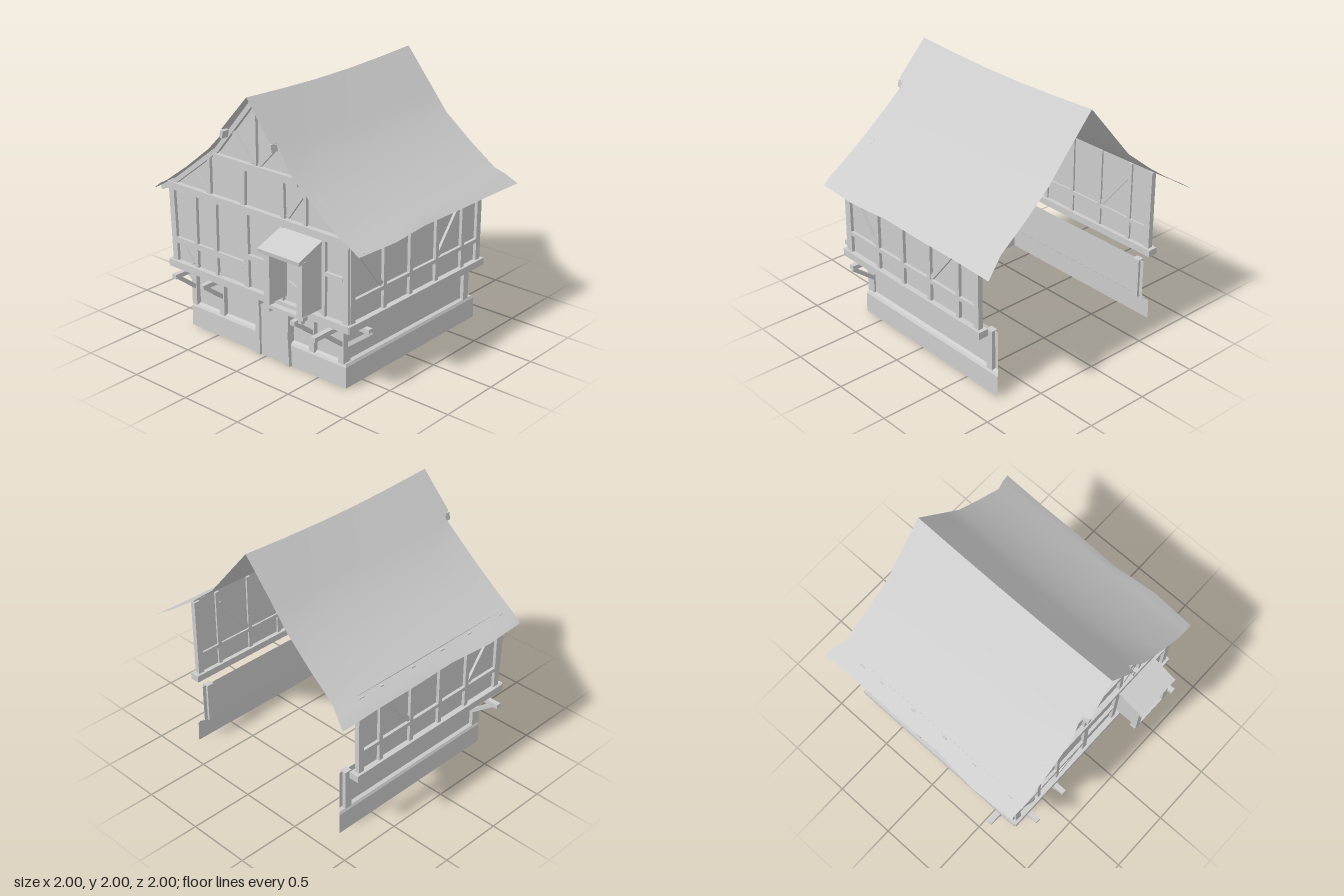
import * as THREE from 'three';

const plaster = new THREE.MeshStandardMaterial({ color: 0xcccccc, side: THREE.DoubleSide });
plaster.name = 'paleGrey';
const UP = new THREE.Vector3(0, 1, 0);

function add(parent, name, geometry) {
  const mesh = new THREE.Mesh(geometry, plaster);
  mesh.name = name;
  parent.add(mesh);
  return mesh;
}

function group(parent, name, x = 0, y = 0, z = 0, turn = 0) {
  const g = new THREE.Group();
  g.name = name;
  g.position.set(x, y, z);
  g.rotation.y = turn;
  parent.add(g);
  return g;
}

// Timber from a to b, w wide across its length and d deep
function bar(parent, name, a, b, w, d) {
  const p = new THREE.Vector3(...a), q = new THREE.Vector3(...b);
  const mesh = add(parent, name, new THREE.BoxGeometry(w, p.distanceTo(q), d));
  mesh.position.copy(p).add(q).multiplyScalar(0.5);
  mesh.quaternion.setFromUnitVectors(UP, q.sub(p).normalize());
  return mesh;
}

// Quad sheet through rows of points
function sheet(rows, smooth) {
  const n = rows[0].length, index = [];
  for (let i = 0; i < rows.length - 1; i++)
    for (let j = 0; j < n - 1; j++) {
      const a = i * n + j, b = a + n;
      index.push(a, b, a + 1, b, b + 1, a + 1);
    }
  let g = new THREE.BufferGeometry();
  g.setAttribute('position', new THREE.Float32BufferAttribute(rows.flat(2), 3));
  g.setIndex(index);
  if (!smooth) g = g.toNonIndexed();
  g.computeVertexNormals();
  return g;
}

const polygon = pts => new THREE.Shape(pts.map(p => new THREE.Vector2(...p)));

// One roof slope: rows run from ridge to eave as [x, y, front z, back z]
function roofSlope(side) {
  const profile = [
    [0, 2.0, 0.84, -0.92], [0.225, 1.735, 0.86, -0.915], [0.25, 1.705, 0.8, -0.915],
    [0.38, 1.55, 0.835, -0.915], [0.6, 1.37, 0.84, -0.925], [0.82, 1.21, 0.84, -0.935],
    [0.9, 1.165, 0.835, -0.97], [0.985, 1.105, 0.825, -1.0],
  ];
  const wobble = [-0.005, 0.015, -0.02, -0.01, -0.01, 0];
  const rows = profile.map(([x, y, front, back], i) => wobble.map((e, j) => {
    const t = j / 5, edge = i / 7;
    const px = x + (i === 7 ? e : 0);
    const sag = 0.03 * Math.sin(Math.PI * t) * (1 - edge);
    return [side * px, y - sag, front + (back - front) * t];
  }));
  if (side < 0) rows.forEach(r => r.reverse());
  const s = sheet(rows, true);
  s.index.array.reverse();
  s.computeVertexNormals();
  return s;
}

// Jetty beam along local +z with a diagonal brace under it
function bracket(parent, x, z, turn, reach) {
  const g = group(parent, 'jettyBracket', x, 0, z, turn);
  bar(g, 'jettyBeam', [0, 0.475, -0.06], [0, 0.475, reach], 0.04, 0.035);
  bar(g, 'jettyBrace', [0, 0.31, 0], [0, 0.465, 0.2], 0.03, 0.03);
}

function stoneBase(house) {
  // Flared plinth and lower wall, open at the back
  const ring = (o, y) => [
    [-0.74 - o, y, -0.79 - o], [-0.74 - o, y, 0.645 + o],
    [0.715 + o, y, 0.645 + o], [0.715 + o, y, -0.79 - o],
  ];
  add(house, 'plinth', sheet([[0.19, 0], [0.18, 0.025], [0.16, 0.035], [0, 0.038]].map(([y, o]) => ring(o, y))));
  add(house, 'lowerWall', sheet([ring(0, 0.5), ring(0, 0.19)]).scale(1, 1, 1));

  // Arched door with its frame
  const arch = polygon([[-0.05, 0], [0.2, 0]]);
  arch.lineTo(0.2, 0.4);
  arch.quadraticCurveTo(0.075, 0.47, -0.05, 0.4);
  const door = add(house, 'door', new THREE.ExtrudeGeometry(arch, { depth: 0.06, bevelEnabled: false }));
  door.position.z = 0.63;
  bar(house, 'doorPost', [-0.065, 0, 0.66], [-0.065, 0.26, 0.66], 0.04, 0.1);
  bar(house, 'doorPost', [-0.065, 0.25, 0.66], [-0.075, 0.5, 0.66], 0.045, 0.1);
  bar(house, 'doorPost', [0.225, 0, 0.66], [0.21, 0.26, 0.66], 0.04, 0.1);
  bar(house, 'doorPost', [0.21, 0.25, 0.66], [0.22, 0.5, 0.66], 0.045, 0.1);

  // Front posts and jetty brackets
  for (const [x, reach] of [[-0.745, 0.23], [-0.455, 0.23], [0.435, 0.23], [0.705, 0.32]]) {
    bar(house, 'lowerPost', [x, 0.18, 0.645], [x, 0.5, 0.645], 0.05, 0.075);
    bracket(house, x, 0.65, 0, reach);
  }
  bracket(house, 0.72, 0.62, Math.PI / 2, 0.2);
  bracket(house, -0.75, 0.62, -Math.PI / 2, 0.25);
  for (const x of [-0.745, 0.72])
    bar(house, 'rearPost', [x, 0.18, -0.73], [x, 0.5, -0.73], 0.05, 0.06);
}

function frontWall(house) {
  const f = group(house, 'frontWall', 0, 0, 0.745);
  add(f, 'frontPanel', new THREE.ShapeGeometry(polygon([
    [-0.855, 0.5], [0.825, 0.5], [0.825, 1.17], [0.38, 1.53], [0, 1.98], [-0.38, 1.53], [-0.855, 1.17]])));
  const wood = (name, x1, y1, x2, y2, w, d = 0.04) => bar(f, name, [x1, y1, 0.005], [x2, y2, 0.005], w, d);

  // Main horizontals
  wood('sillBeam', -0.89, 0.522, 0.865, 0.522, 0.055, 0.08);
  wood('tieBeam', -0.88, 1.145, 0.86, 1.145, 0.055, 0.07);
  wood('collarBeam', -0.4, 1.467, 0.4, 1.467, 0.055, 0.06);
  wood('rail', -0.82, 0.715, -0.12, 0.715, 0.045);
  wood('rail', -0.09, 0.785, 0.23, 0.785, 0.04);
  wood('rail', 0.62, 0.87, 0.79, 0.87, 0.03);

  // Uprights as [x at foot, foot y, x at head, head y, width]
  for (const [a, b, c, d, w] of [
    [-0.84, 0.55, -0.858, 1.12, 0.05], [0.82, 0.55, 0.815, 1.12, 0.05],
    [-0.615, 0.55, -0.615, 1.12, 0.028], [-0.41, 0.55, -0.41, 1.12, 0.028],
    [-0.105, 0.55, -0.11, 1.12, 0.045], [0.225, 0.55, 0.24, 1.12, 0.045], [0.62, 0.55, 0.625, 1.12, 0.03],
    [-0.458, 1.17, -0.458, 1.44, 0.025], [0.458, 1.17, 0.458, 1.44, 0.025],
    [-0.13, 1.17, -0.12, 1.44, 0.04], [0.25, 1.17, 0.245, 1.44, 0.035], [0, 1.49, 0, 1.93, 0.025],
  ]) wood('post', a, b, c, d, w);

  // Diagonals
  for (const [a, b, c, d] of [
    [-0.77, 0.69, -0.66, 0.56], [-0.38, 0.56, -0.15, 0.69], [0.29, 0.7, 0.55, 0.6],
    [-0.62, 1.3, -0.48, 1.18], [0.29, 1.19, 0.45, 1.41],
    [-0.22, 1.7, -0.03, 1.5], [0.22, 1.7, 0.03, 1.5],
  ]) wood('diagonalBrace', a, b, c, d, 0.03, 0.03);

  // Gable rafters and purlin ends
  for (const s of [-1, 1]) {
    const line = [[0, 1.965], [0.37, 1.525], [0.81, 1.185], [0.96, 1.1]];
    for (let i = 0; i < 3; i++)
      wood('gableRafter', s * line[i][0], line[i][1], s * line[i + 1][0], line[i + 1][1], 0.035, 0.05);
    bar(f, 'purlinEnd', [s * 0.235, 1.665, 0.085], [s * 0.225, 1.72, 0.085], 0.025, 0.06);
  }
}

// Side wall built facing local +z; s flips it so the front end matches
function sideWall(house, x, s) {
  const g = group(house, s > 0 ? 'leftWall' : 'rightWall', x, 0, 0, s * Math.PI / 2);
  const panel = add(g, 'sidePanel', new THREE.PlaneGeometry(1.48, 0.67));
  panel.position.set(-s * 0.005, 0.855, 0);
  const wood = (name, z1, y1, z2, y2, w, d = 0.04) =>
    bar(g, name, [-s * z1, y1, 0.005], [-s * z2, y2, 0.005], w, d);
  wood('sideSill', 0.78, 0.52, -0.77, 0.52, 0.055, 0.08);
  wood('sideRail', 0.7, 0.705, -0.69, 0.705, 0.03);
  for (const z of [0.725, 0.38, 0.09, -0.21, -0.52, -0.715])
    wood('sidePost', z, 0.54, z, 1.18, Math.abs(z) > 0.7 ? 0.05 : 0.035);
  wood('sideBrace', 0.66, 1.06, 0.41, 0.735, 0.035, 0.03);
  wood('sideBrace', -0.23, 0.735, -0.5, 1.07, 0.035, 0.03);
}

function bayWindow(house) {
  const b = group(house, 'bayWindow', 0.43, 0, 0.75);
  for (const x of [-0.15, 0.15]) {
    bar(b, 'bayPost', [x, 0.585, 0.19], [x, 1.0, 0.19], 0.05, 0.05);
    bar(b, 'bayPeg', [x, 0.55, 0.195], [x, 0.59, 0.195], 0.035, 0.035);
    const cheek = add(b, 'bayCheek', new THREE.ShapeGeometry(polygon([[0, 0.59], [0.19, 0.59], [0.19, 1.01], [0, 1.08]])));
    cheek.rotation.y = -Math.PI / 2;
    cheek.position.x = x * 1.07;
  }
  bar(b, 'baySill', [-0.18, 0.592, 0.19], [0.18, 0.592, 0.19], 0.025, 0.05);
  bar(b, 'bayLintel', [-0.17, 0.99, 0.19], [0.17, 0.99, 0.19], 0.03, 0.04);
  // Lean-to roof slab
  const roof = add(b, 'bayRoof', new THREE.ExtrudeGeometry(
    polygon([[0, 1.08], [0.245, 0.99], [0.25, 1.02], [0, 1.11]]), { depth: 0.38, bevelEnabled: false }));
  roof.rotation.y = -Math.PI / 2;
  roof.position.x = 0.18;
}

export function createModel() {
  const house = new THREE.Group();
  house.name = 'timberHouse';
  stoneBase(house);
  frontWall(house);
  sideWall(house, 0.825, 1);
  sideWall(house, -0.855, -1);
  bayWindow(house);
  for (const s of [1, -1]) add(house, s > 0 ? 'leftRoof' : 'rightRoof', roofSlope(s));
  return house;
}
